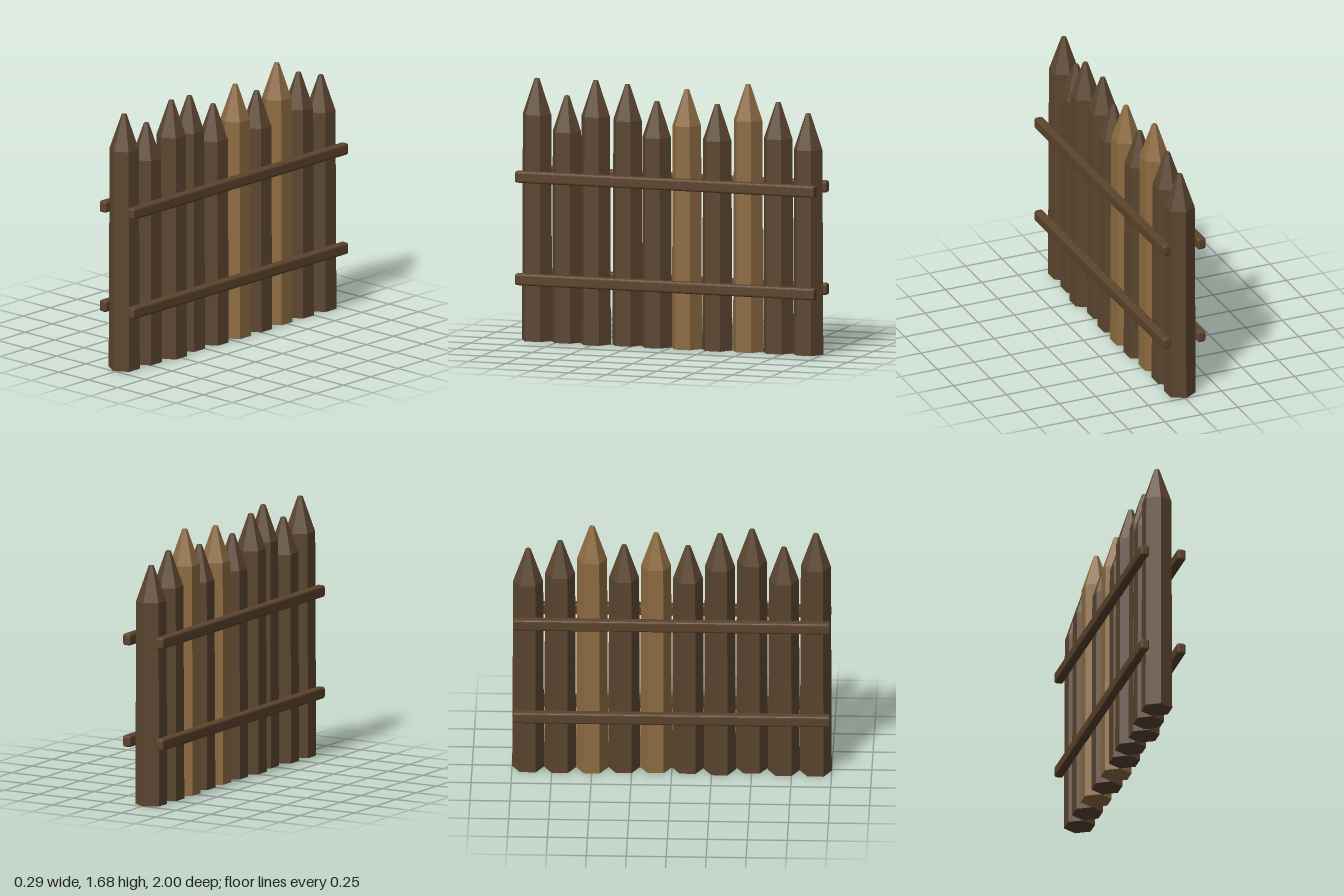
import * as THREE from 'three';
import { RoundedBoxGeometry } from 'three/addons/geometries/RoundedBoxGeometry.js';

function material(name, color, flatShading) {
  const m = new THREE.MeshStandardMaterial({ color, flatShading });
  m.name = name;
  return m;
}

// Six-sided post with a slight taper and a blunt sharpened tip
function stakeGeometry(height) {
  const profile = [
    [0, 0], [0.1, 0], [0.094, height - 0.225], [0.016, height], [0, height],
  ].map(([r, y]) => new THREE.Vector2(r, y));
  return new THREE.LatheGeometry(profile, 6);
}

export function createModel() {
  const group = new THREE.Group();
  group.name = 'palisadeFence';
  const darkWood = material('dark wood', 0x5c4630, true);
  const lightWood = material('light wood', 0x8f6c42, true);
  const railWood = material('rail wood', 0x5c442c, true);

  // Stakes from front to back: [height, sideways offset, light wood]
  const stakes = [
    [1.655, -0.017], [1.555, -0.013], [1.665, 0.014], [1.645, -0.016], [1.55, 0],
    [1.635, 0.003, true], [1.55, 0], [1.685, -0.013, true], [1.58, -0.013], [1.52, -0.008],
  ];
  stakes.forEach(([height, x, light], i) => {
    const stake = new THREE.Mesh(stakeGeometry(height), light ? lightWood : darkWood);
    stake.name = `stake${i + 1}`;
    stake.position.set(x, 0, 0.9 - i * 0.2);
    group.add(stake);
  });

  // Two horizontal rails on each side
  const railGeometry = new RoundedBoxGeometry(0.056, 0.074, 1.985, 2, 0.014);
  for (const [sideName, side] of [['left', 1], ['right', -1]]) {
    for (const [levelName, y] of [['Lower', 0.4], ['Upper', 1.048]]) {
      const rail = new THREE.Mesh(railGeometry, railWood);
      rail.name = `${sideName}${levelName}Rail`;
      rail.position.set(side * 0.119, y, 0);
      group.add(rail);
    }
  }
  return group;
}
